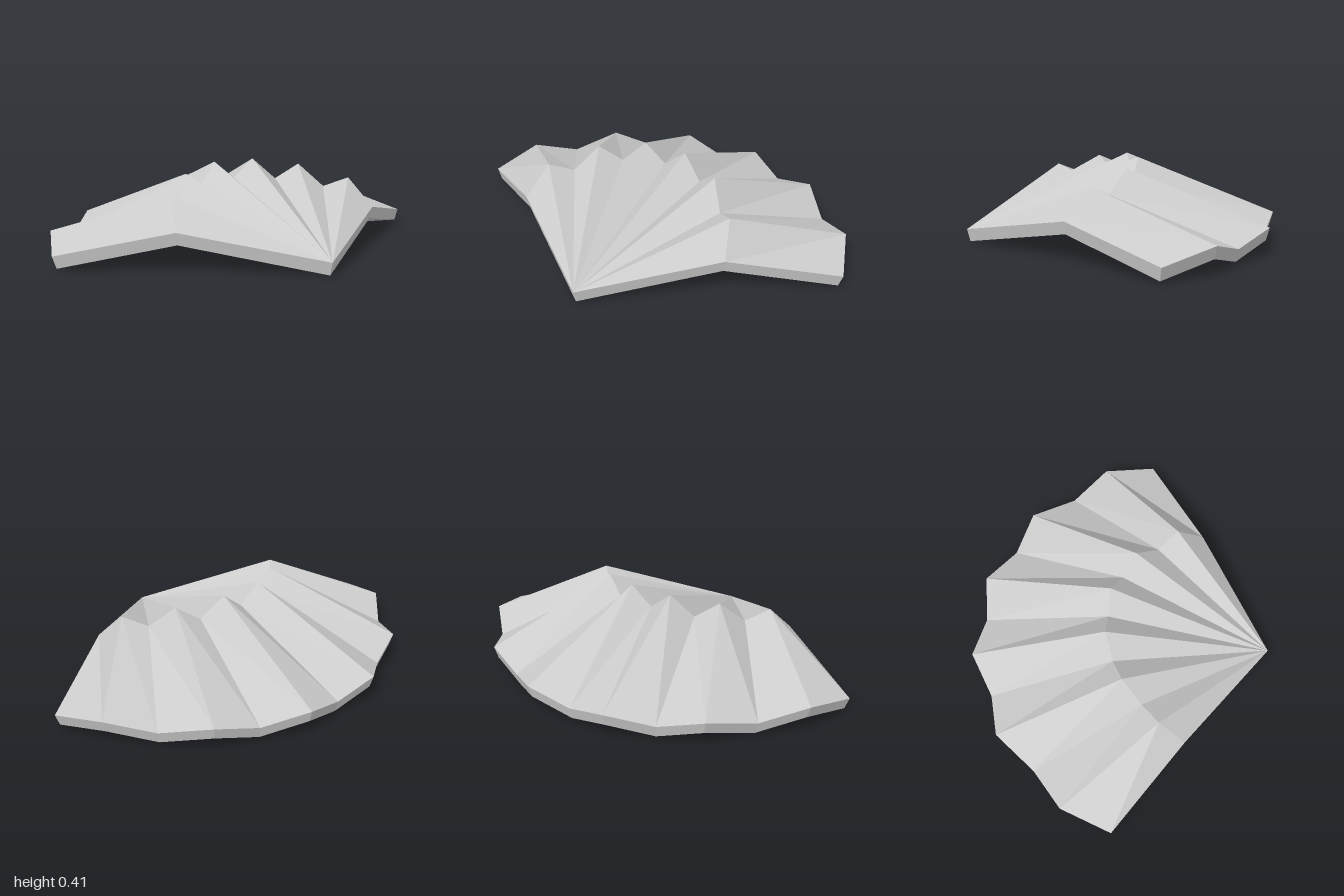
import * as THREE from 'three';

// Right half from the front edge to the middle of the back: [x, y, z]
const RIDGE = [
  [0.55, 0.18, 0.355], [0.5, 0.315, 0.22], [0.41, 0.266, 0.13], [0.326, 0.375, 0.025],
  [0.22, 0.3, -0.03], [0.112, 0.405, -0.078], [0, 0.315, -0.078],
];
const RIM = [
  [1, 0.068, 0.05], [0.92, 0.125, -0.203], [0.75, 0.068, -0.36], [0.605, 0.125, -0.562],
  [0.4, 0.068, -0.628], [0.21, 0.125, -0.75], [0, 0.068, -0.72],
];
const HINGE = [0, 0.06, 0.745];
const UNDER_CENTRE = [0, 0.077, 0.065];

// Continue a half outline over to the other side
const mirror = (half) => [...half, ...half.slice(0, -1).reverse().map(([x, y, z]) => [-x, y, z])];

// Flat-shaded mesh from a list of polygons (fanned into triangles)
function facetMesh(name, polygons, material) {
  const positions = [];
  for (const p of polygons) {
    for (let i = 1; i < p.length - 1; i++) positions.push(...p[0], ...p[i], ...p[i + 1]);
  }
  const geometry = new THREE.BufferGeometry();
  geometry.setAttribute('position', new THREE.Float32BufferAttribute(positions, 3));
  geometry.computeVertexNormals();
  const mesh = new THREE.Mesh(geometry, material);
  mesh.name = name;
  return mesh;
}

export function createModel() {
  const group = new THREE.Group();
  group.name = 'scallopShell';
  const shellGrey = new THREE.MeshStandardMaterial({ color: 0xcccccc });
  shellGrey.name = 'shellGrey';

  const ridge = mirror(RIDGE);
  const rim = mirror(RIM);

  // Pleats rising from the hinge, then falling to the scalloped rim
  const inner = [], outer = [];
  for (let i = 0; i < ridge.length - 1; i++) {
    inner.push([HINGE, ridge[i], ridge[i + 1]]);
    outer.push([ridge[i], rim[i], rim[i + 1], ridge[i + 1]]);
  }

  // Closed outline with a slightly inset lower copy
  const top = [HINGE, ridge[0], ...rim, ridge[ridge.length - 1]];
  const bottom = top.map(([x, y, z]) => [x * 0.98, Math.max(0, y - 0.058), z * 0.98]);
  bottom[0][1] = 0;

  // Edge wall and creased underside
  const wall = [], underside = [];
  for (let i = 0; i < top.length; i++) {
    const j = (i + 1) % top.length;
    wall.push([bottom[i], bottom[j], top[j], top[i]]);
    underside.push([UNDER_CENTRE, bottom[j], bottom[i]]);
  }

  group.add(
    facetMesh('innerPleats', inner, shellGrey),
    facetMesh('outerPleats', outer, shellGrey),
    facetMesh('edgeWall', wall, shellGrey),
    facetMesh('underside', underside, shellGrey),
  );
  return group;
}
